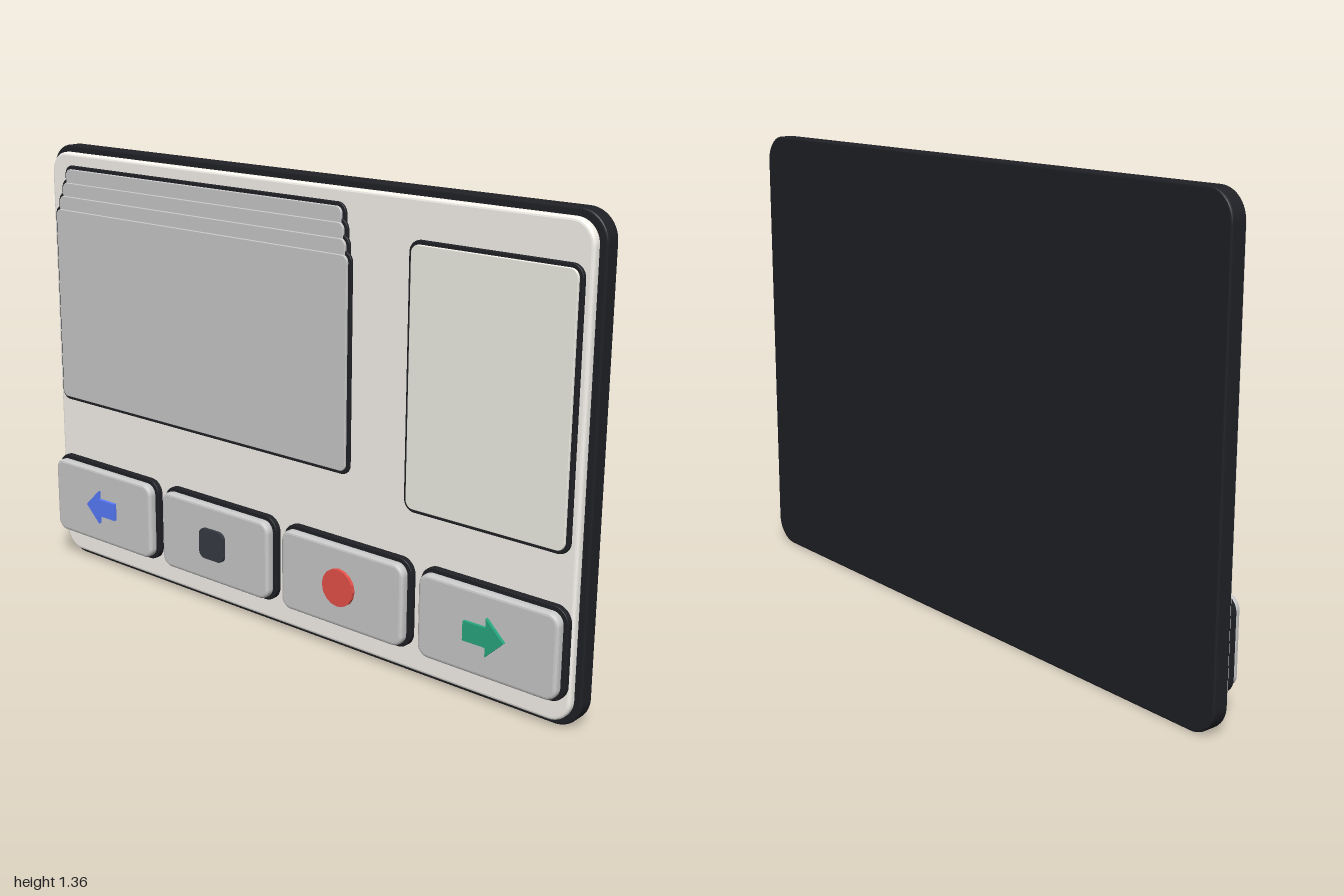
import * as THREE from 'three';

const COLORS = {
  grey: 0xcccccc, dark: 0x202126, plate: 0xfaf7f0, panel: 0xf3f1e8,
  blue: 0x5a7cff, charcoal: 0x383b44, red: 0xe8524a, green: 0x28a880,
};
const materials = {};
for (const [key, color] of Object.entries(COLORS)) {
  materials[key] = new THREE.MeshStandardMaterial({ color });
}

// Rounded rectangle outline centred on the origin
function roundedRect(w, h, r) {
  const x = w / 2, y = h / 2, s = new THREE.Shape();
  s.absarc(x - r, y - r, r, 0, Math.PI / 2);
  s.absarc(-x + r, y - r, r, Math.PI / 2, Math.PI);
  s.absarc(-x + r, -y + r, r, Math.PI, Math.PI * 1.5);
  s.absarc(x - r, -y + r, r, Math.PI * 1.5, Math.PI * 2);
  s.closePath();
  return s;
}

// Shape extruded from z0 to z1, with its bevel kept inside the outline
function slab(name, shape, material, x, y, z0, z1, bevel = 0) {
  const geometry = new THREE.ExtrudeGeometry(shape, {
    depth: z1 - z0 - 2 * bevel, curveSegments: 8,
    bevelEnabled: bevel > 0, bevelSize: bevel, bevelThickness: bevel,
    bevelOffset: -bevel, bevelSegments: 3,
  });
  geometry.translate(0, 0, bevel);
  const mesh = new THREE.Mesh(geometry, materials[material]);
  mesh.name = name;
  mesh.position.set(x, y, z0);
  return mesh;
}

// Face sitting on a slightly larger dark backing
function framed(name, w, h, r, rim, material, x, y, [z0, z1, z2], bevel) {
  const group = new THREE.Group();
  group.name = name;
  group.add(
    slab(name + 'Rim', roundedRect(w, h, r), 'dark', x, y, z0, z1, 0.003),
    slab(name + 'Face', roundedRect(w - 2 * rim, h - 2 * rim, r - rim), material, x, y, z1 - 0.003, z2, bevel),
  );
  return group;
}

// Arrow pointing along +x (dir 1) or -x (dir -1)
function arrow(dir) {
  const points = [[-0.065, -0.028], [0.008, -0.028], [0.008, -0.055], [0.065, 0],
    [0.008, 0.055], [0.008, 0.028], [-0.065, 0.028]];
  return new THREE.Shape(points.map(([x, y]) => new THREE.Vector2(x * dir, y)));
}

export function createModel() {
  const model = new THREE.Group();
  model.name = 'controlPanel';

  // Backing and face plate
  model.add(
    slab('backing', roundedRect(2, 1.36, 0.08), 'dark', 0, 0.68, -0.065, -0.015, 0.006),
    slab('facePlate', roundedRect(1.96, 1.32, 0.065), 'plate', 0, 0.68, -0.018, 0.011, 0.009),
  );

  // Stack of cards, back to front, each lower and wider
  for (let i = 0; i < 4; i++) {
    const w = 1.135 + i * 0.0225, top = 1.302 - i * 0.042, bottom = 0.65 - i * 0.0345;
    const z = 0.009 + i * 0.005;
    model.add(framed('card' + (i + 1), w, top - bottom, 0.03, 0.011, 'grey',
      -0.344, (top + bottom) / 2, [z, z + 0.009, z + 0.016], 0.002));
  }

  // Side display, standing slightly clear of the plate
  model.add(framed('display', 0.52, 0.74, 0.035, 0.011, 'panel',
    0.71, 0.865, [0.024, 0.036, 0.043], 0.002));

  // Row of buttons with raised symbols
  const circle = new THREE.Shape().absarc(0, 0, 0.056, 0, Math.PI * 2);
  const buttons = [
    ['back', arrow(-1), 'blue'],
    ['stop', roundedRect(0.1, 0.096, 0.022), 'charcoal'],
    ['record', circle, 'red'],
    ['forward', arrow(1), 'green'],
  ];
  buttons.forEach(([name, shape, color], i) => {
    const x = -0.746 + i * 0.496;
    model.add(
      framed(name + 'Button', 0.465, 0.265, 0.045, 0.011, 'grey', x, 0.219, [0.009, 0.029, 0.057], 0.01),
      slab(name + 'Symbol', shape, color, x, 0.22, 0.055, 0.067),
    );
  });

  return model;
}
